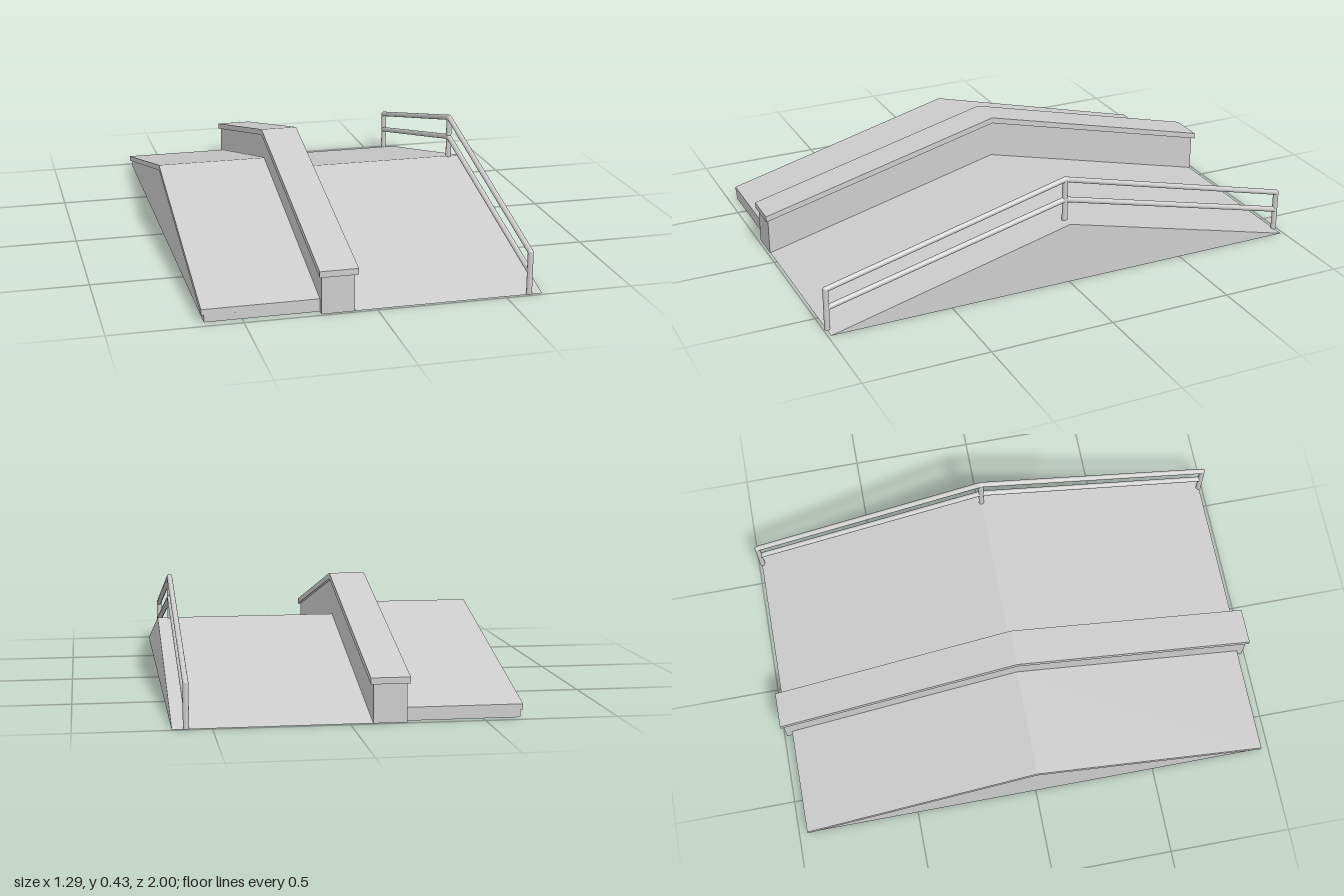
import * as THREE from 'three';

const concrete = new THREE.MeshStandardMaterial({ color: 0xcccccc, side: THREE.DoubleSide });
concrete.name = 'grey concrete';

function addMesh(parent, name, geometry) {
  const mesh = new THREE.Mesh(geometry, concrete);
  mesh.name = name;
  parent.add(mesh);
  return mesh;
}

// Hollow gabled shell, open below; sides and roof are optional
function gableShell(x0, x1, z, yEnd, yRidge, { left = true, right = true, top = false }) {
  const pos = [];
  const face = (...p) => {
    for (let i = 1; i < p.length - 1; i++) pos.push(...p[0], ...p[i], ...p[i + 1]);
  };
  const profile = [[0, z], [yEnd, z], [yRidge, 0], [yEnd, -z], [0, -z]];
  const at = x => profile.map(([y, zz]) => [x, y, zz]);
  const a = at(x0), b = at(x1);
  if (left) face(b[2], b[1], b[0], b[4], b[3]);
  if (right) face(a[2], a[3], a[4], a[0], a[1]);
  for (let i = 0; i < 4; i++) {
    const isRoof = i === 1 || i === 2;
    if (isRoof ? top : yEnd > 0) face(a[i], b[i], b[i + 1], a[i + 1]);
  }
  const g = new THREE.BufferGeometry();
  g.setAttribute('position', new THREE.Float32BufferAttribute(pos, 3));
  g.computeVertexNormals();
  return g;
}

// Solid slab bent over the ridge, extruded across x
function bentSlab(x0, x1, z, yEnd, yRidge, t) {
  const shape = new THREE.Shape([
    [-z, yEnd - t], [0, yRidge - t], [z, yEnd - t], [z, yEnd], [0, yRidge], [-z, yEnd],
  ].map(p => new THREE.Vector2(...p)));
  const g = new THREE.ExtrudeGeometry(shape, { depth: x1 - x0, bevelEnabled: false });
  g.rotateY(Math.PI / 2);
  g.translate(x0, 0, 0);
  return g;
}

export function createModel() {
  const group = new THREE.Group();
  group.name = 'rampBridge';

  // Roadway
  addMesh(group, 'road', gableShell(-0.085, 0.645, 0.988, 0, 0.25, { right: false, top: true }));

  // Raised walkway with a slab overhanging its outer side
  addMesh(group, 'walkwayBase', gableShell(-0.64, -0.21, 0.963, 0.03, 0.28, { left: false }));
  addMesh(group, 'walkwaySlab', bentSlab(-0.65, -0.21, 0.963, 0.05, 0.3, 0.022));

  // Dividing wall and its coping
  addMesh(group, 'wall', gableShell(-0.21, -0.085, 0.99, 0.15, 0.4, {}));
  addMesh(group, 'wallCoping', bentSlab(-0.22, -0.073, 1, 0.17, 0.423, 0.024));

  // Handrail
  const rail = new THREE.Group();
  rail.name = 'handrail';
  rail.position.x = 0.594;
  group.add(rail);
  const r = 0.011, zEnd = 0.985;
  const bar = (name, y0, z0, y1, z1) => {
    const a = new THREE.Vector3(0, y0, z0), b = new THREE.Vector3(0, y1, z1);
    const m = addMesh(rail, name, new THREE.CylinderGeometry(r, r, a.distanceTo(b), 16));
    m.position.copy(a).lerp(b, 0.5);
    m.quaternion.setFromUnitVectors(new THREE.Vector3(0, 1, 0), b.sub(a).normalize());
  };
  const joint = (y, z) => {
    addMesh(rail, 'railJoint', new THREE.SphereGeometry(r, 16, 10)).position.set(0, y, z);
  };
  for (const s of [1, -1]) {
    bar('endPost', 0, s * zEnd, 0.168, s * zEnd);
    joint(0.168, s * zEnd);
    bar('topRail', 0.168, s * zEnd, 0.42, 0);
    bar('middleRail', 0.09, s * zEnd, 0.335, 0);
  }
  bar('ridgePost', 0.24, 0, 0.42, 0);
  joint(0.42, 0);
  joint(0.335, 0);

  return group;
}
